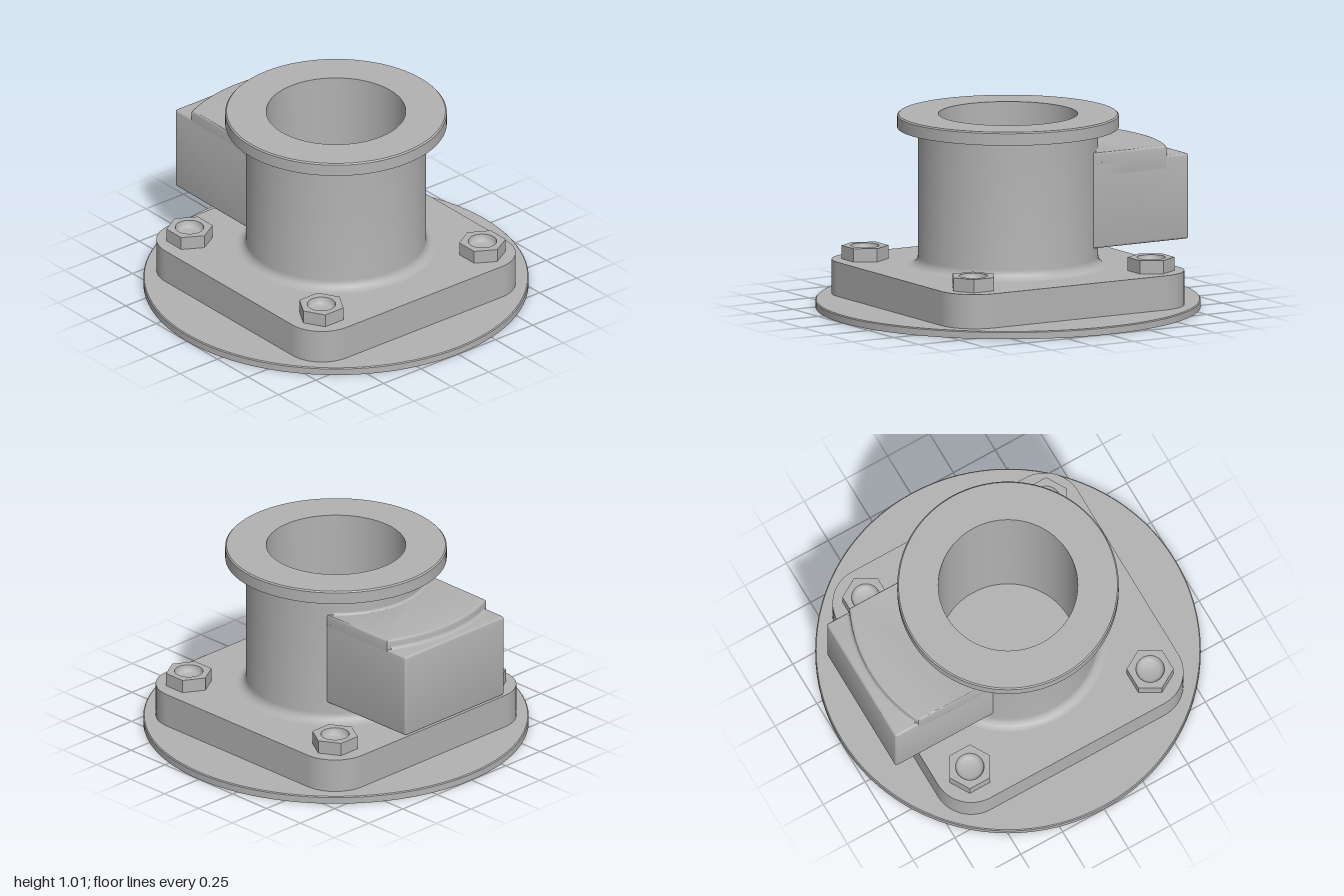
import * as THREE from 'three';
import { toCreasedNormals } from 'three/addons/utils/BufferGeometryUtils.js';

const V = (x, y) => new THREE.Vector2(x, y);

export function createModel() {
  const group = new THREE.Group();
  const grey = new THREE.MeshStandardMaterial({ color: 0xb2b2b2 });
  grey.name = 'plain grey';

  function add(name, geometry, parent = group) {
    const mesh = new THREE.Mesh(toCreasedNormals(geometry, 0.6), grey);
    mesh.name = name;
    parent.add(mesh);
    return mesh;
  }

  // Turned part: profile runs up the outside, then inward and down
  const turn = (pts, start = 0, length = Math.PI * 2, segments = 96) =>
    new THREE.LatheGeometry(pts, segments, start, length);

  // Upright extrusion between two heights; shape y points to the back (-z)
  function slab(shape, y0, y1, bevel = 0) {
    const g = new THREE.ExtrudeGeometry(shape, {
      depth: y1 - y0 - 2 * bevel, curveSegments: 32, bevelEnabled: bevel > 0,
      bevelSize: bevel, bevelThickness: bevel, bevelOffset: -bevel, bevelSegments: 3,
    });
    return g.rotateX(-Math.PI / 2).translate(0, y0 + bevel, 0);
  }

  // Quarter-round profile of a concave fillet against a cylinder
  function fillet(r, y, s, dir = 1) {
    const pts = [];
    for (let i = 0; i <= 6; i++) {
      const a = (i / 6) * Math.PI / 2;
      pts.push(V(r + s * (1 - Math.sin(a)), y + dir * s * (1 - Math.cos(a))));
    }
    return dir > 0 ? pts : pts.reverse();
  }

  const circleHole = (r) => new THREE.Path().absarc(0, 0, r, 0, Math.PI * 2, true);

  // Thin round base
  add('baseDisc', turn([V(0, 0), V(1, 0), V(1, 0.035), V(0.995, 0.04), V(0, 0.04)]));

  // Square mounting plate with rounded corners
  const h = 0.72, c = 0.2, q = Math.PI / 2;
  const square = new THREE.Shape();
  [[1, 1], [-1, 1], [-1, -1], [1, -1]].forEach(([sx, sy], i) =>
    square.absarc(sx * (h - c), sy * (h - c), c, i * q, (i + 1) * q, false));
  square.closePath();
  square.holes.push(circleHole(0.4));
  add('mountingPlate', slab(square, 0.04, 0.22));

  // Hollow barrel with a filleted foot and a top flange
  add('flangedBarrel', turn([
    ...fillet(0.468, 0.22, 0.05),
    V(0.468, 0.945), V(0.575, 0.945), V(0.575, 1.008), V(0.568, 1.015),
    V(0.362, 1.015), V(0.362, 0.042), V(0, 0.042),
  ]));

  // Four hex nuts, with neighbours turned by 30 degrees
  for (const sx of [-1, 1]) for (const sz of [-1, 1]) {
    const nut = new THREE.Group();
    nut.name = 'nut';
    const hex = new THREE.Shape();
    const turned = sx === sz ? Math.PI / 6 : 0;
    for (let i = 0; i < 6; i++) {
      const a = turned + i * Math.PI / 3, x = 0.122 * Math.cos(a), y = 0.122 * Math.sin(a);
      i ? hex.lineTo(x, y) : hex.moveTo(x, y);
    }
    hex.closePath();
    hex.holes.push(circleHole(0.074));
    add('nutBody', slab(hex, 0.22, 0.29), nut);
    add('nutRecess', turn([V(0.074, 0.29), V(0.071, 0.272), V(0.062, 0.259),
      V(0.05, 0.254), V(0, 0.254)], 0, Math.PI * 2, 64), nut);
    nut.position.set(sx * 0.54, 0, sz * 0.54);
    group.add(nut);
  }

  // Rear housing: full-depth lower block and a curved raised top
  const w = 0.36, inner = 0.425, step = 0.825;
  const ai = Math.acos(w / inner), ao = Math.acos(w / step);
  const lower = new THREE.Shape();
  lower.absarc(0, 0, inner, Math.PI - ai, ai, true);
  lower.lineTo(w, 0.865);
  lower.quadraticCurveTo(w, 0.88, w - 0.015, 0.88);
  lower.lineTo(-w + 0.015, 0.88);
  lower.quadraticCurveTo(-w, 0.88, -w, 0.865);
  lower.closePath();
  add('housingBody', slab(lower, 0.33, 0.78, 0.012));

  const upper = new THREE.Shape();
  upper.absarc(0, 0, inner, Math.PI - ai, ai, true);
  upper.absarc(0, 0, step, ao, Math.PI - ao, false);
  upper.closePath();
  add('housingRaisedTop', slab(upper, 0.7, 0.832, 0.012));

  // Small fillets along the step and where the housing meets the barrel
  function rearFillet(name, r, y, s, dir) {
    const half = Math.asin((w - 0.012) / (r + s));
    add(name, turn(fillet(r, y, s, dir), Math.PI - half, 2 * half, 40));
  }
  rearFillet('stepFillet', step, 0.78, 0.018, 1);
  rearFillet('upperJointFillet', 0.468, 0.832, 0.014, 1);
  rearFillet('lowerJointFillet', 0.468, 0.33, 0.014, -1);

  return group;
}
